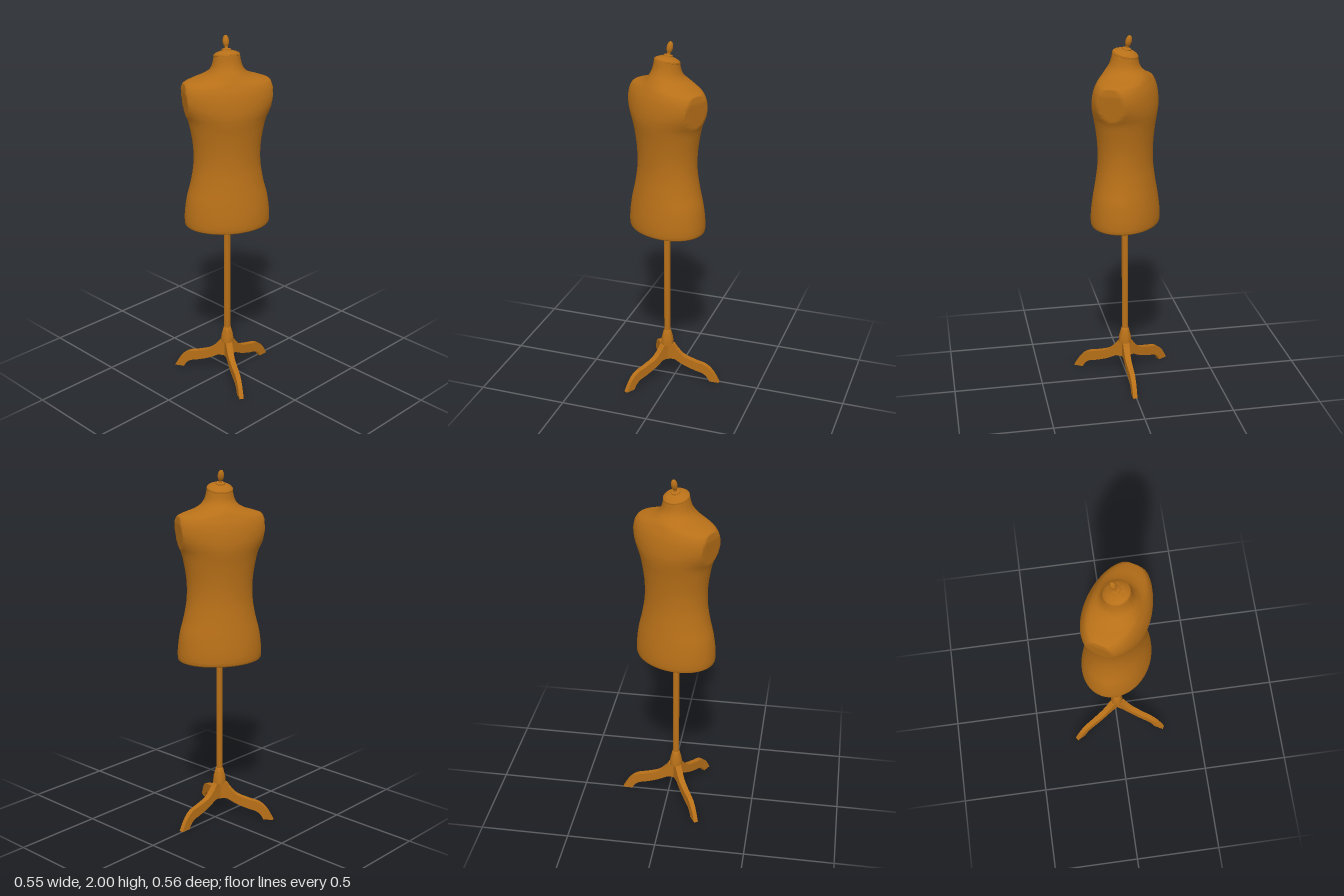
import * as THREE from 'three';
import { toCreasedNormals } from 'three/addons/utils/BufferGeometryUtils.js';

const material = new THREE.MeshStandardMaterial({ color: 0xb87018, side: THREE.DoubleSide });

function part(name, geometry, parent) {
  const mesh = new THREE.Mesh(geometry, material);
  mesh.name = name;
  parent.add(mesh);
  return mesh;
}

function lathe(points, segments = 32) {
  const g = new THREE.LatheGeometry(points.map(([r, y]) => new THREE.Vector2(r, y)), segments);
  return toCreasedNormals(g, 0.6);
}

// Torso: elliptical sections [half width, height, half depth], sliced flat at the armholes
function torsoGeometry() {
  const sections = [
    [0.222, 0.95, 0.172], [0.233, 0.957, 0.183], [0.236, 0.98, 0.186], [0.234, 1.03, 0.184],
    [0.223, 1.11, 0.174], [0.2, 1.2, 0.16], [0.184, 1.3, 0.148], [0.184, 1.4, 0.148],
    [0.199, 1.5, 0.157], [0.214, 1.56, 0.166], [0.234, 1.6, 0.17], [0.253, 1.64, 0.169],
    [0.262, 1.69, 0.162], [0.255, 1.73, 0.151], [0.236, 1.757, 0.139], [0.2, 1.772, 0.132],
    [0.145, 1.789, 0.122], [0.108, 1.808, 0.108], [0.086, 1.833, 0.088], [0.076, 1.86, 0.076],
    [0.069, 1.895, 0.069],
  ];
  const curve = new THREE.CatmullRomCurve3(sections.map((s) => new THREE.Vector3(...s)));
  const rings = curve.getPoints(100);
  const n = 64;
  const position = [], index = [];
  rings.forEach(({ x: a, y, z: b }) => {
    const cut = y > 1.5 && y < 1.8 ? 0.236 - 0.1 * Math.abs(y - 1.72) : 1;
    const tilt = 0.25 * THREE.MathUtils.smoothstep(y, 1.78, 1.89);
    for (let i = 0; i < n; i++) {
      const t = (i / n) * Math.PI * 2;
      const u = THREE.MathUtils.clamp(a * Math.cos(t), -cut, cut);
      const v = b * Math.sin(t);
      position.push(u, y + v * tilt, v);
    }
  });
  for (let j = 0; j < rings.length - 1; j++) {
    for (let i = 0; i < n; i++) {
      const p = j * n + i, q = j * n + ((i + 1) % n);
      index.push(p, p + n, q, q, p + n, q + n);
    }
  }
  // flat underside
  const centre = position.length / 3;
  position.push(0, 0.95, 0);
  for (let i = 0; i < n; i++) index.push(centre, i, (i + 1) % n);
  const g = new THREE.BufferGeometry();
  g.setAttribute('position', new THREE.Float32BufferAttribute(position, 3));
  g.setIndex(index);
  return toCreasedNormals(g, 0.55);
}

// Curved leg: side profile extruded, then narrowed towards the foot
function legGeometry() {
  const s = new THREE.Shape();
  s.moveTo(0.012, 0.205);
  s.lineTo(0.04, 0.205);
  s.splineThru([[0.065, 0.172], [0.105, 0.138], [0.17, 0.117], [0.235, 0.1], [0.28, 0.062], [0.317, 0]]
    .map((p) => new THREE.Vector2(...p)));
  s.lineTo(0.262, 0);
  s.splineThru([[0.245, 0.027], [0.218, 0.047], [0.17, 0.06], [0.105, 0.083], [0.05, 0.112]]
    .map((p) => new THREE.Vector2(...p)));
  s.lineTo(0.012, 0.112);
  const g = new THREE.ExtrudeGeometry(s, { depth: 1, bevelEnabled: false, curveSegments: 16 });
  g.translate(0, 0, -0.5);
  const p = g.attributes.position;
  for (let i = 0; i < p.count; i++) {
    p.setZ(i, p.getZ(i) * THREE.MathUtils.lerp(0.038, 0.024, p.getX(i) / 0.317));
  }
  return toCreasedNormals(g, 0.6);
}

export function createModel() {
  const model = new THREE.Group();
  model.name = 'dressForm';
  const stand = new THREE.Group();
  stand.name = 'stand';
  stand.position.set(-0.044, 0, 0.007);
  model.add(stand);

  // Pole, turned collar and tripod
  part('pole', lathe([[0, 0.105], [0.018, 0.105], [0.018, 0.955], [0, 0.955]], 24), stand);
  part('collar', lathe([[0, 0.203], [0.036, 0.203], [0.036, 0.217], [0.033, 0.245], [0.026, 0.272],
    [0.021, 0.292], [0.017, 0.296]]), stand);
  const leg = legGeometry();
  for (let i = 0; i < 3; i++) part('leg' + (i + 1), leg, stand).rotation.y = (i * Math.PI * 2) / 3;

  // Body is turned on its pole
  const body = new THREE.Group();
  body.name = 'body';
  body.position.set(-0.042, 0, 0.005);
  body.rotation.y = -Math.PI / 6;
  model.add(body);
  part('torso', torsoGeometry(), body);

  // Neck cap and finial lean with the neck
  const top = new THREE.Group();
  top.name = 'neckTop';
  top.position.y = 1.895;
  top.rotation.x = -0.25;
  body.add(top);
  part('neckCap', lathe([[0.066, -0.006], [0.071, 0], [0.07, 0.008], [0.062, 0.016], [0.045, 0.024],
    [0.022, 0.03], [0, 0.032]]), top);
  part('finialBase', lathe([[0.025, 0.026], [0.025, 0.034], [0.021, 0.038], [0.009, 0.04],
    [0.009, 0.05]], 20), top);
  const knob = part('finialKnob', new THREE.SphereGeometry(1, 20, 14), top);
  knob.scale.set(0.017, 0.032, 0.017);
  knob.position.y = 0.076;
  return model;
}
